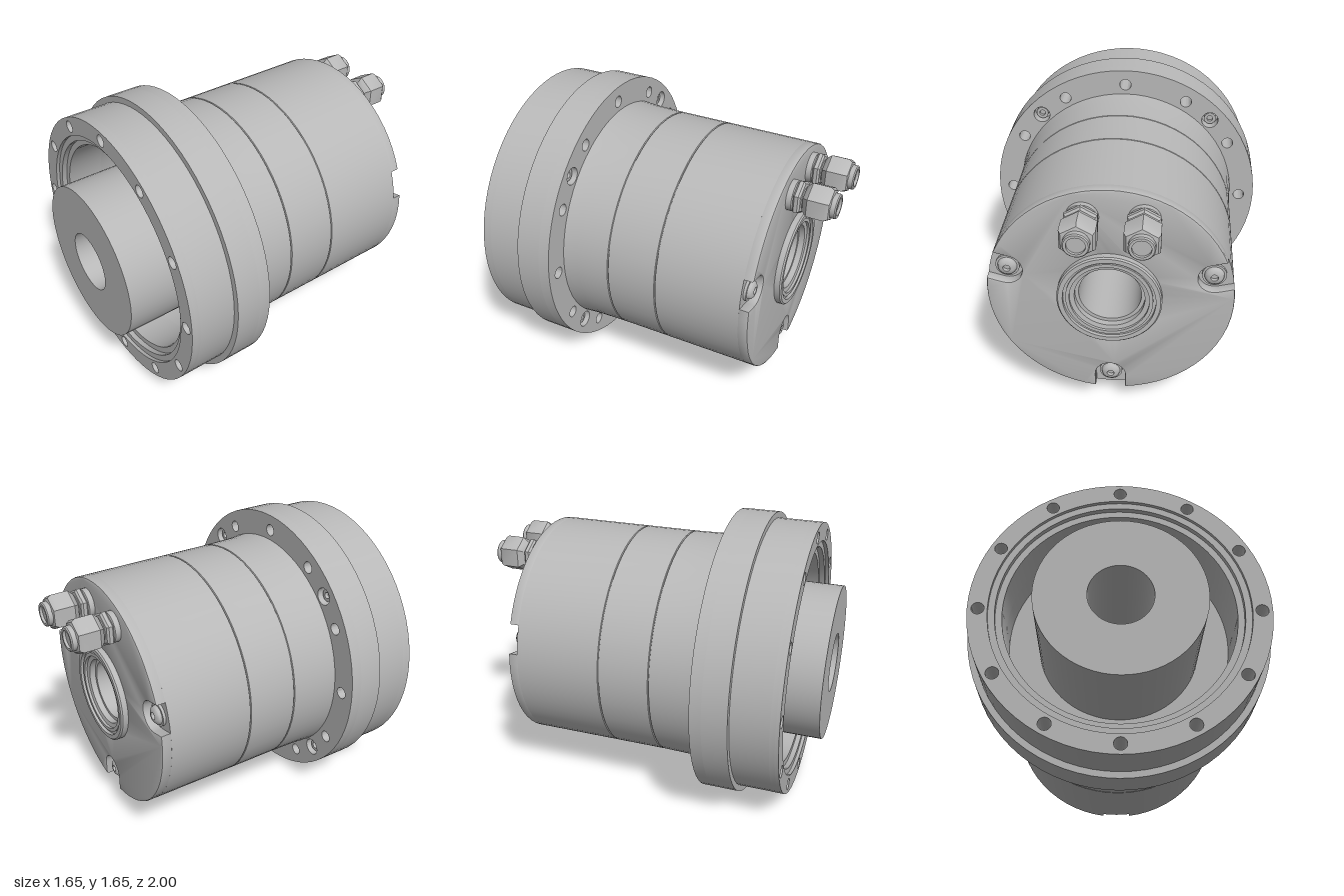
import * as THREE from 'three';
import { toCreasedNormals } from 'three/addons/utils/BufferGeometryUtils.js';

const AXIS_Y = 0.83;
const BOLT_R = 0.735;

export function createModel() {
  const root = new THREE.Group();
  root.name = 'hollowShaftActuator';
  const metal = new THREE.MeshStandardMaterial({ color: 0xb8b8b8 });
  metal.name = 'plain grey metal';

  function add(name, geometry, x = 0, y = 0) {
    const mesh = new THREE.Mesh(toCreasedNormals(geometry, 0.6), metal);
    mesh.name = name;
    mesh.position.set(x, AXIS_Y + y, 0);
    root.add(mesh);
    return mesh;
  }

  // Turned part about the z axis; profile is [radius, z], counter-clockwise
  function turned(name, profile, segments = 64, x = 0, y = 0) {
    const points = profile.map(([r, z]) => new THREE.Vector2(r, z));
    return add(name, new THREE.LatheGeometry(points, segments).rotateX(Math.PI / 2), x, y);
  }

  function circle(target, r, x = 0, y = 0) {
    return target.absarc(x, y, r, 0, Math.PI * 2, false);
  }

  // Flat ring between two z planes, drilled with [angle, radius] holes
  function drilledRing(name, outer, inner, z0, z1, holes) {
    const shape = circle(new THREE.Shape(), outer);
    shape.holes.push(circle(new THREE.Path(), inner));
    for (const [a, r] of holes) {
      shape.holes.push(circle(new THREE.Path(), r, BOLT_R * Math.cos(a), BOLT_R * Math.sin(a)));
    }
    const geometry = new THREE.ExtrudeGeometry(shape, { depth: z1 - z0, bevelEnabled: false, curveSegments: 36 });
    return add(name, geometry.translate(0, 0, z0));
  }

  // Mounting flange and front ring with twelve through holes
  const through = [], counterbores = [];
  for (let i = 0; i < 12; i++) through.push([i * Math.PI / 6, 0.034]);
  for (let i = 0; i < 4; i++) counterbores.push([Math.PI / 4 + i * Math.PI / 2, 0.05]);
  drilledRing('flangeBack', 0.825, 0.615, 0.385, 0.45, [...through, ...counterbores]);
  drilledRing('flangeFront', 0.825, 0.615, 0.45, 0.59, through);
  drilledRing('frontRing', 0.79, 0.615, 0.59, 0.80, through);
  drilledRing('frontRingStep', 0.79, 0.65, 0.80, 0.83, through);
  drilledRing('frontRingLip', 0.79, 0.685, 0.83, 0.85, through);

  // Screws sunk in the back of the flange
  for (const [a] of counterbores) {
    turned('flangeScrew', [[0, 0.43], [0.018, 0.43], [0.018, 0.41], [0.036, 0.41], [0.036, 0.45]],
      20, BOLT_R * Math.cos(a), BOLT_R * Math.sin(a));
  }

  // Housing with two seams and a flared neck
  turned('housing', [
    [0.2, -0.68], [0.665, -0.68], [0.665, -0.191], [0.659, -0.188], [0.659, -0.186], [0.665, -0.183],
    [0.665, 0.101], [0.659, 0.104], [0.659, 0.106], [0.665, 0.109], [0.669, 0.30], [0.676, 0.385],
  ]);

  // Recess floor, output shaft and its bore
  turned('outputShaft', [[0.63, 0.43], [0.445, 0.43], [0.445, 1], [0.17, 1], [0.17, 0.4]]);
  turned('boreAndRearHub', [
    [0.17, 0.4], [0.17, -0.71], [0.19, -0.71], [0.19, -0.745], [0.215, -0.75], [0.215, -0.765],
    [0.235, -0.765], [0.235, -0.755], [0.25, -0.755], [0.25, -0.775], [0.275, -0.775],
    [0.283, -0.767], [0.283, -0.725],
  ]);

  // Rear cap, notched at the rim for three screws
  const R = 0.665, SCREW_R = 0.57, POCKET = 0.085;
  const screwAngles = [15, 165, 270].map(THREE.MathUtils.degToRad);
  const half = Math.asin(POCKET / R);
  const cap = new THREE.Shape();
  screwAngles.forEach((a, i) => {
    const next = i < 2 ? screwAngles[i + 1] : screwAngles[0] + Math.PI * 2;
    // Pocket wall round the screw, open to the rim
    for (let k = 0; k <= 12; k++) {
      const t = a - Math.PI / 2 - k * Math.PI / 12;
      const px = SCREW_R * Math.cos(a) + POCKET * Math.cos(t);
      const py = SCREW_R * Math.sin(a) + POCKET * Math.sin(t);
      if (i === 0 && k === 0) cap.moveTo(px, py);
      else cap.lineTo(px, py);
    }
    const start = a + half, end = next - half;
    const steps = Math.round((end - start) * 64 / (Math.PI * 2));
    for (let k = 0; k <= steps; k++) {
      const t = start + (end - start) * k / steps;
      cap.lineTo(R * Math.cos(t), R * Math.sin(t));
    }
  });
  cap.closePath();
  cap.holes.push(circle(new THREE.Path(), 0.23));
  add('rearCap', new THREE.ExtrudeGeometry(cap, {
    depth: 0.045, bevelThickness: 0.01, bevelSize: 0.01, bevelOffset: -0.01, bevelSegments: 2, curveSegments: 24,
  }).translate(0, 0, -0.725));

  // Rear cap screws with sockets
  for (const a of screwAngles) {
    const x = SCREW_R * Math.cos(a), y = SCREW_R * Math.sin(a);
    turned('capScrew', [
      [0, -0.7], [0.02, -0.7], [0.02, -0.722], [0.035, -0.72], [0.048, -0.71], [0.053, -0.695],
      [0.065, -0.695], [0.065, -0.68],
    ], 24, x, y);
  }

  // Two cable glands: round stem, lock nut and hexagonal clamp
  for (const x of [-0.18, 0.135]) {
    turned('glandStem', [
      [0, -0.985], [0.048, -0.985], [0.048, -1], [0.062, -1], [0.068, -0.994], [0.068, -0.95],
      [0.058, -0.94], [0.058, -0.775], [0.085, -0.765], [0.085, -0.735],
    ], 28, x, 0.505);
    turned('glandClamp', [[0.06, -0.972], [0.09, -0.965], [0.104, -0.945], [0.104, -0.85], [0.075, -0.82], [0.055, -0.815]],
      6, x, 0.505);
    turned('glandNut', [[0.05, -0.812], [0.085, -0.81], [0.098, -0.8], [0.098, -0.78], [0.085, -0.77], [0.05, -0.768]],
      6, x, 0.505);
  }

  return root;
}
